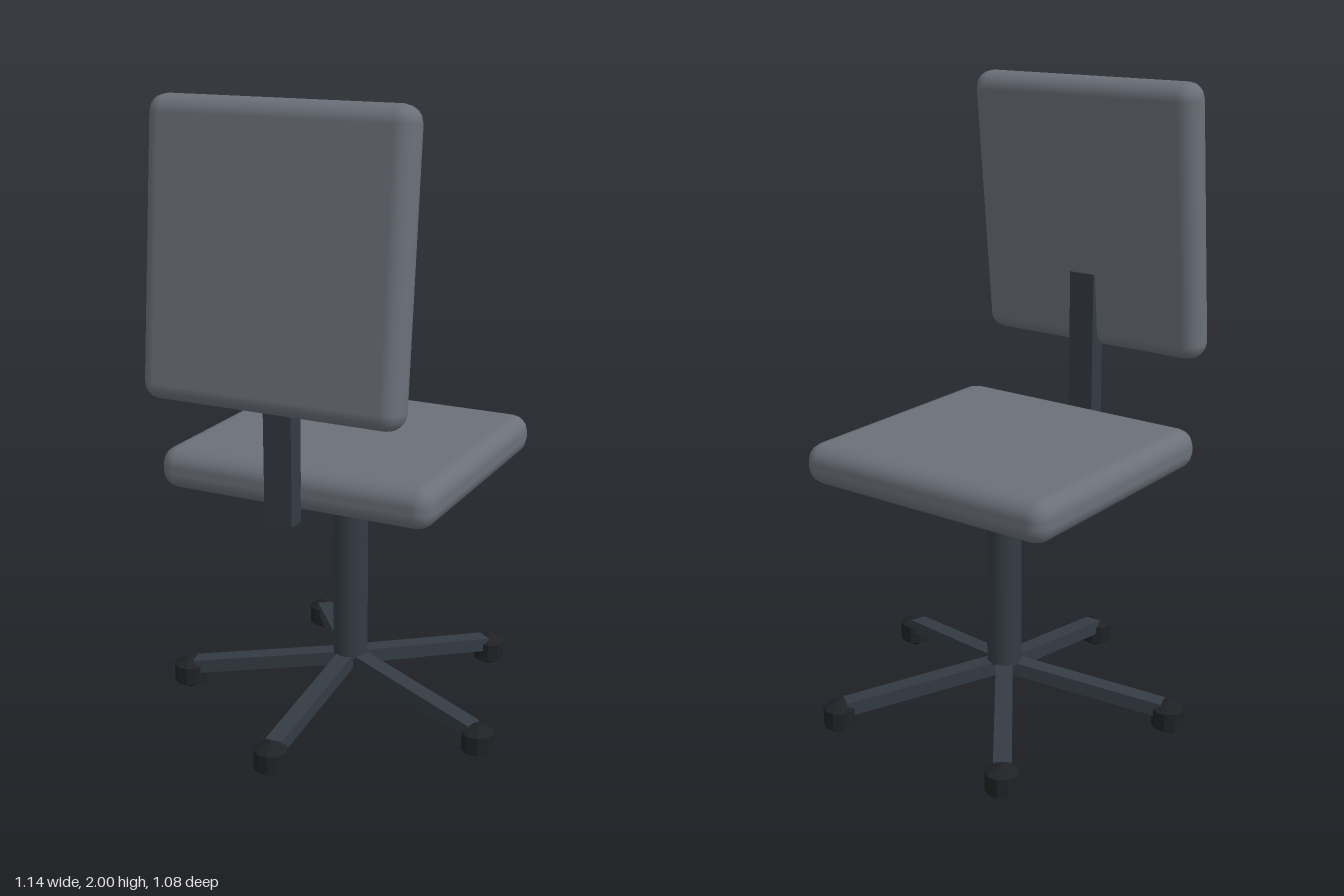
import * as THREE from 'three';
import { RoundedBoxGeometry } from 'three/addons/geometries/RoundedBoxGeometry.js';

const LEGS = 5;
const HUB_Z = -0.05; // centre of the swivel base

export function createModel() {
  const chair = new THREE.Group();
  chair.name = 'officeChair';

  const cushion = new THREE.MeshStandardMaterial({ color: 0x6b7079 });
  const frame = new THREE.MeshStandardMaterial({ color: 0x343b43 });
  const rubber = new THREE.MeshStandardMaterial({ color: 0x202125, flatShading: true });

  const add = (parent, name, geometry, material, x = 0, y = 0, z = 0) => {
    const mesh = new THREE.Mesh(geometry, material);
    mesh.name = name;
    mesh.position.set(x, y, z);
    parent.add(mesh);
    return mesh;
  };

  // Cushions
  add(chair, 'seat', new RoundedBoxGeometry(0.9, 0.13, 0.855, 2, 0.055), cushion, 0, 0.873, -0.053);
  const back = add(chair, 'backrest', new RoundedBoxGeometry(0.82, 0.87, 0.115, 2, 0.052), cushion, 0, 1.565, 0.417);
  back.rotation.x = -0.1;

  // Upright bar that carries the backrest
  add(chair, 'backSupport', new THREE.BoxGeometry(0.09, 0.59, 0.058), frame, 0, 1.08, 0.4);

  // Central column
  add(chair, 'column', new THREE.CylinderGeometry(0.056, 0.056, 0.66, 16), frame, 0, 0.5, HUB_Z);

  // Five-star base: sloping legs with a caster at each tip
  const base = new THREE.Group();
  base.name = 'base';
  base.position.z = HUB_Z;
  chair.add(base);

  const legGeometry = new THREE.BoxGeometry(0.055, 0.045, 0.53);
  const casterGeometry = new THREE.SphereGeometry(0.06, 10, 3);
  for (let i = 0; i < LEGS; i++) {
    const arm = new THREE.Group();
    arm.name = 'baseArm';
    arm.rotation.y = (i * Math.PI * 2) / LEGS;
    base.add(arm);
    const leg = add(arm, 'leg', legGeometry, frame, 0, 0.124, 0.262);
    leg.rotation.x = 0.14;
    add(arm, 'caster', casterGeometry, rubber, 0, 0.06, 0.545);
  }

  return chair;
}
